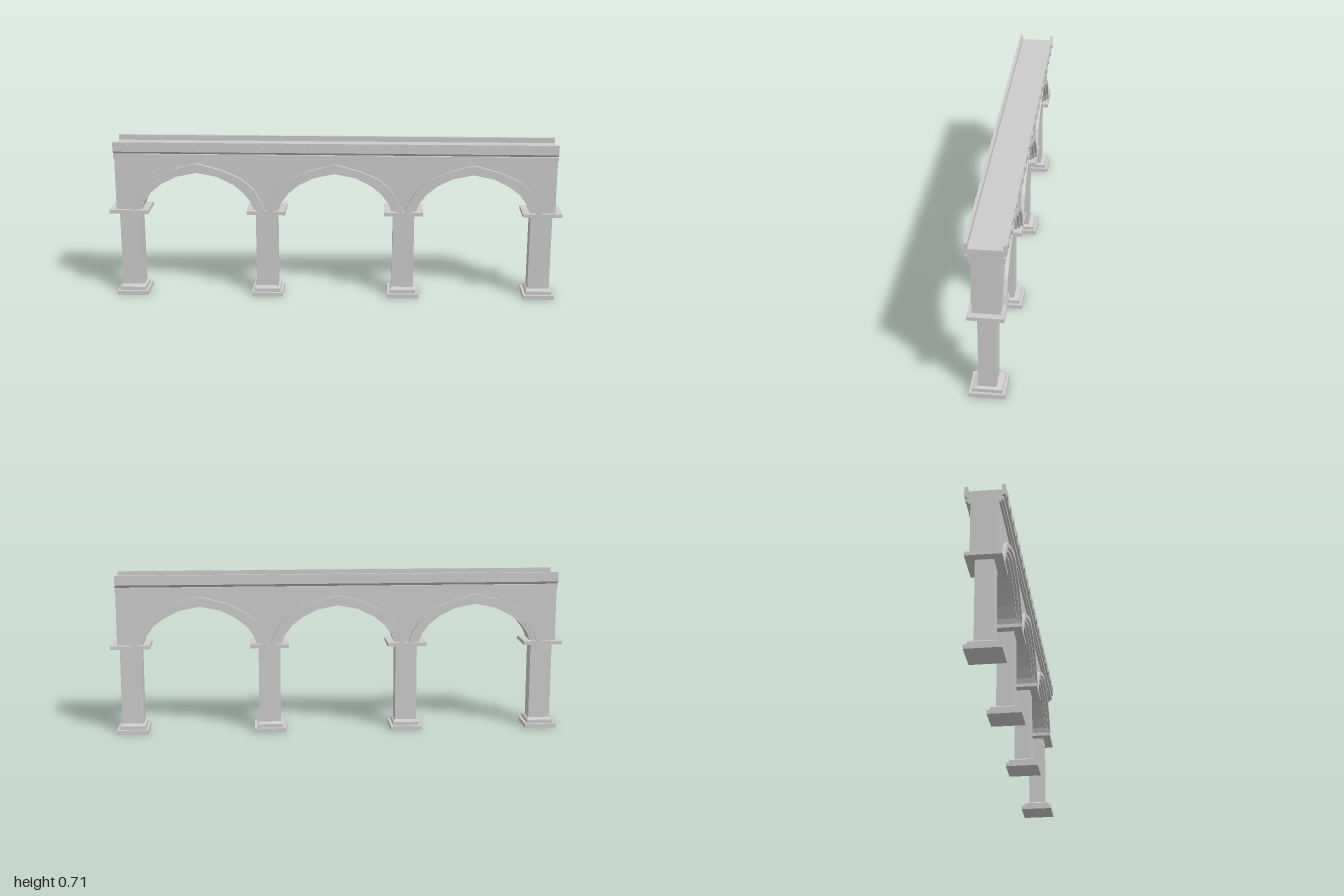
import * as THREE from 'three';

const material = new THREE.MeshStandardMaterial({ color: 0xcccccc, flatShading: true });
const LENGTH = 1.944;
const PITCH = 0.61;
const SPRING = 0.4;

// Half outlines of the arch, from springing to crown
const OUTER = [[0.3, 0.4], [0.285, 0.44], [0.25, 0.5], [0.198, 0.547], [0.112, 0.585], [0, 0.615]];
const INNER = [[0.25, 0.4], [0.237, 0.435], [0.205, 0.478], [0.16, 0.515], [0.09, 0.55], [0, 0.568]];

function add(parent, name, geometry, x = 0, y = 0, z = 0) {
  const mesh = new THREE.Mesh(geometry, material);
  mesh.name = name;
  mesh.position.set(x, y, z);
  parent.add(mesh);
  return mesh;
}

// Full arch line, left springing to right springing; t blends outer to inner
function archLine(t, cx = 0) {
  const half = OUTER.map(([x, y], i) => [
    THREE.MathUtils.lerp(x, INNER[i][0], t),
    THREE.MathUtils.lerp(y, INNER[i][1], t),
  ]);
  const left = half.map(([x, y]) => new THREE.Vector2(cx - x, y));
  const right = half.slice(0, -1).reverse().map(([x, y]) => new THREE.Vector2(cx + x, y));
  return [...left, ...right];
}

function extrudeCentred(points, depth) {
  const geometry = new THREE.ExtrudeGeometry(new THREE.Shape(points), { depth, bevelEnabled: false });
  return geometry.translate(0, 0, -depth / 2);
}

// Block standing on y = 0 whose top may be narrower than its bottom
function block(w, h, d, topW = w, topD = d) {
  const geometry = new THREE.BoxGeometry(w, h, d).translate(0, h / 2, 0);
  const p = geometry.attributes.position;
  for (let i = 0; i < p.count; i++) {
    if (p.getY(i) > h / 2) p.setXYZ(i, p.getX(i) * topW / w, h, p.getZ(i) * topD / d);
  }
  geometry.computeVertexNormals();
  return geometry;
}

function createPier(x) {
  const pier = new THREE.Group();
  pier.name = 'pier';
  pier.position.x = x;
  add(pier, 'plinth', block(0.139, 0.018, 0.146));
  add(pier, 'plinthStep', block(0.115, 0.016, 0.12), 0, 0.018);
  add(pier, 'plinthSlope', block(0.115, 0.007, 0.12, 0.096, 0.073), 0, 0.034);
  add(pier, 'shaft', block(0.096, 0.35, 0.073), 0, 0.037);
  add(pier, 'capital', block(0.172, 0.016, 0.146), 0, 0.384);
  return pier;
}

export function createModel() {
  const model = new THREE.Group();
  model.name = 'archedBridge';

  for (const i of [-1.5, -0.5, 0.5, 1.5]) model.add(createPier(i * PITCH));

  // Wall with three arched openings
  const wall = [new THREE.Vector2(-LENGTH / 2, 0.64), new THREE.Vector2(-LENGTH / 2, SPRING)];
  for (const i of [-1, 0, 1]) wall.push(...archLine(0.1, i * PITCH));
  wall.push(new THREE.Vector2(LENGTH / 2, SPRING), new THREE.Vector2(LENGTH / 2, 0.64));
  add(model, 'wall', extrudeCentred(wall, 0.112));

  // Stepped arch mouldings, each band set further back
  const bands = [[0, 0.45, 0.142], [0.45, 0.75, 0.122], [0.75, 1, 0.1]];
  for (const i of [-1, 0, 1]) {
    for (const [from, to, depth] of bands) {
      const ring = [...archLine(from), ...archLine(to).reverse()];
      add(model, 'archMoulding', extrudeCentred(ring, depth), i * PITCH);
    }
  }

  // Cornice and channel with parapets, one profile run along the bridge
  const side = [
    [0.055, 0.633], [0.066, 0.633], [0.066, 0.641], [0.0745, 0.641], [0.0745, 0.657],
    [0.063, 0.657], [0.081, 0.669], [0.081, 0.711], [0.068, 0.711], [0.068, 0.688],
  ].map(([x, y]) => new THREE.Vector2(x, y));
  const mirrored = side.map((p) => new THREE.Vector2(-p.x, p.y)).reverse();
  add(model, 'deckAndCornice', extrudeCentred([...side, ...mirrored], LENGTH).rotateY(Math.PI / 2));

  // Round studs along both parapets
  const stud = new THREE.CylinderGeometry(0.017, 0.017, 0.008, 16).rotateX(Math.PI / 2);
  for (const z of [-0.0805, 0.0805]) {
    for (let i = 0; i < 20; i++) add(model, 'parapetStud', stud, (i - 9.5) * 0.0965, 0.689, z);
  }
  return model;
}
